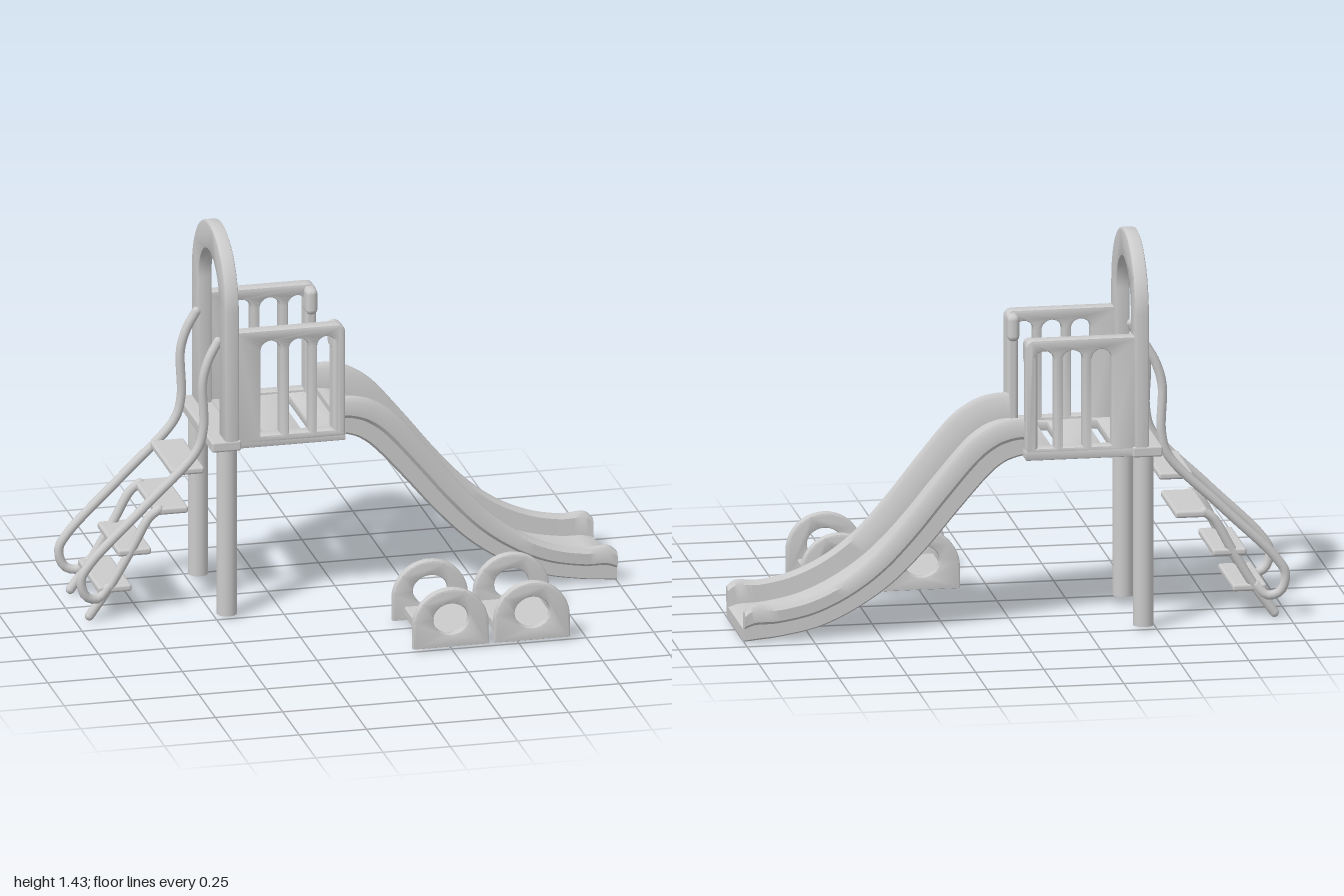
import * as THREE from 'three';
import { toCreasedNormals } from 'three/addons/utils/BufferGeometryUtils.js';
import { RoundedBoxGeometry } from 'three/addons/geometries/RoundedBoxGeometry.js';

const MID = -0.25; // centre plane of the tower in z
const grey = new THREE.MeshStandardMaterial({ color: 0xcccccc });

function add(parent, name, geometry, x = 0, y = 0, z = 0) {
  const mesh = new THREE.Mesh(geometry, grey);
  mesh.name = name;
  mesh.position.set(x, y, z);
  parent.add(mesh);
  return mesh;
}

// Bevelled plate, centred on its thickness
function plate(shape, depth, bevel = 0.008) {
  const g = new THREE.ExtrudeGeometry(shape, {
    depth: depth - 2 * bevel, bevelThickness: bevel, bevelSize: bevel,
    bevelOffset: -bevel, bevelSegments: 2, curveSegments: 20,
  });
  g.translate(0, 0, bevel - depth / 2);
  return toCreasedNormals(g, 0.6);
}

// Rod along a smooth path with rounded ends
function rod(parent, name, points, radius) {
  const group = new THREE.Group();
  group.name = name;
  const path = new THREE.CatmullRomCurve3(points.map(p => new THREE.Vector3(...p)), false, 'centripetal');
  add(group, name + 'Tube', new THREE.TubeGeometry(path, 64, radius, 12));
  for (const p of [points[0], points[points.length - 1]])
    add(group, name + 'End', new THREE.SphereGeometry(radius, 12, 8), ...p);
  parent.add(group);
}

// Upright slot with a round top
function slot(x0, x1, y0, y1) {
  const r = (x1 - x0) / 2, p = new THREE.Path();
  p.moveTo(x0, y0);
  p.lineTo(x1, y0);
  p.lineTo(x1, y1 - r);
  p.absarc(x0 + r, y1 - r, r, 0, Math.PI, false);
  p.lineTo(x0, y0);
  return p;
}

// Slide: a U-shaped section swept between a top and a bottom curve
function slideGeometry() {
  const top = [[-0.03, 0.79], [0.04, 0.785], [0.11, 0.76], [0.19, 0.7], [0.3, 0.57], [0.42, 0.42],
    [0.53, 0.3], [0.64, 0.215], [0.76, 0.158], [0.88, 0.132], [0.965, 0.135], [1, 0.112]];
  const bottom = [[-0.03, 0.65], [0, 0.645], [0.05, 0.625], [0.11, 0.575], [0.22, 0.45], [0.33, 0.32],
    [0.45, 0.2], [0.58, 0.11], [0.72, 0.045], [0.86, 0.015], [0.95, 0.005], [1, 0]];
  const half = [[0.18, 0], [0.192, 0.06], [0.192, 0.45], [0.205, 0.54], [0.207, 0.88],
    [0.196, 1], [0.174, 1], [0.162, 0.9], [0.158, 0.38]];
  const section = [...half, ...half.slice().reverse().map(([w, u]) => [-w, u])];
  const curves = [bottom, top].map(c => new THREE.SplineCurve(c.map(p => new THREE.Vector2(...p))));
  const n = section.length, steps = 66, pos = [], index = [];
  for (let i = 0; i <= steps; i++) {
    const b = curves[0].getPoint(i / steps), t = curves[1].getPoint(i / steps);
    for (const [w, u] of section) {
      const p = b.clone().lerp(t, u);
      pos.push(p.x, p.y, MID + w);
    }
  }
  for (let i = 0; i < steps; i++)
    for (let j = 0; j < n; j++) {
      const a = i * n + j, b = i * n + (j + 1) % n;
      index.push(a, a + n, b, b, a + n, b + n);
    }
  const cap = THREE.ShapeUtils.triangulateShape(section.map(p => new THREE.Vector2(...p)), []);
  for (const [a, b, c] of cap) index.push(a, b, c, steps * n + a, steps * n + c, steps * n + b);
  const g = new THREE.BufferGeometry();
  g.setAttribute('position', new THREE.Float32BufferAttribute(pos, 3));
  g.setIndex(index);
  return toCreasedNormals(g, 0.7);
}

function buildTower(root) {
  const tower = new THREE.Group();
  tower.name = 'tower';
  root.add(tower);

  // Deck with two drain slots, plus the wider sill under the arch
  const deck = new THREE.Shape([[-0.5, 0.005], [-0.02, 0.005], [-0.02, 0.5], [-0.5, 0.5]].map(p => new THREE.Vector2(...p)));
  for (const x of [-0.33, -0.148]) deck.holes.push(slot(x - 0.02, x + 0.02, 0.08, 0.43));
  add(tower, 'deck', plate(deck, 0.035, 0.005), 0, 0.663).rotation.x = -Math.PI / 2;
  add(tower, 'deckSill', new RoundedBoxGeometry(0.11, 0.04, 0.52, 2, 0.008), -0.465, 0.663, MID);

  // Entrance arch
  const arch = new THREE.Shape();
  arch.moveTo(-0.258, 0.66);
  arch.lineTo(-0.16, 0.66);
  arch.lineTo(-0.16, 1.165);
  arch.absarc(0, 1.165, 0.16, Math.PI, 0, true);
  arch.lineTo(0.16, 0.66);
  arch.lineTo(0.258, 0.66);
  arch.lineTo(0.258, 1.172);
  arch.absarc(0, 1.172, 0.258, 0, Math.PI, false);
  add(tower, 'arch', plate(arch, 0.052), -0.444, 0, MID).rotation.y = Math.PI / 2;

  // Side railing with four slots
  const rail = new THREE.Shape();
  rail.moveTo(-0.43, 0.665);
  rail.lineTo(-0.022, 0.665);
  rail.lineTo(-0.022, 1.06);
  rail.quadraticCurveTo(-0.022, 1.092, -0.055, 1.092);
  rail.lineTo(-0.43, 1.092);
  for (const [a, b] of [[-0.415, -0.365], [-0.335, -0.262], [-0.23, -0.155], [-0.125, -0.055]])
    rail.holes.push(slot(a, b, 0.69, 1.05));
  const railGeometry = plate(rail, 0.055);

  for (const s of [1, -1]) {
    add(tower, 'railing', railGeometry, 0, 0, MID + s * 0.222);
    add(tower, 'railingEndPost', new RoundedBoxGeometry(0.042, 0.42, 0.075, 3, 0.015), -0.045, 0.875, MID + s * 0.211);
    add(tower, 'railingKnob', new RoundedBoxGeometry(0.044, 0.1, 0.09, 3, 0.02), -0.046, 1.035, MID + s * 0.195);
    add(tower, 'post', new THREE.CylinderGeometry(0.037, 0.037, 0.645, 20), -0.455, 0.3325, MID + s * 0.218);
  }
}

function buildLadder(root) {
  const ladder = new THREE.Group();
  ladder.name = 'ladder';
  root.add(ladder);
  for (const s of [1, -1]) {
    const z = w => MID + s * w;
    // Handrail from the arch down to a loop that joins the stringer
    rod(ladder, 'handrail', [[-0.475, 1.035, z(0.165)], [-0.51, 0.97, z(0.168)], [-0.532, 0.89, z(0.17)],
      [-0.53, 0.71, z(0.17)], [-0.555, 0.625, z(0.17)], [-0.75, 0.425, z(0.17)], [-0.95, 0.225, z(0.17)],
      [-0.984, 0.165, z(0.17)], [-0.965, 0.1, z(0.168)], [-0.92, 0.085, z(0.16)], [-0.88, 0.12, z(0.148)]], 0.017);
    rod(ladder, 'stringer', [[-0.947, 0.016, z(0.145)], [-0.87, 0.125, z(0.145)],
      [-0.79, 0.26, z(0.145)], [-0.725, 0.375, z(0.145)], [-0.69, 0.402, z(0.145)]], 0.017);
  }
  for (const [x, y] of [[-0.855, 0.115], [-0.782, 0.25], [-0.645, 0.397], [-0.585, 0.543]])
    add(ladder, 'step', new RoundedBoxGeometry(0.125, 0.027, 0.32, 3, 0.01), x, y, MID);
}

// Low seat between two arched side panels
function buildSeat(root, x, seatShift) {
  const seat = new THREE.Group();
  seat.name = 'seat';
  seat.position.set(x, 0, 0.333);
  root.add(seat);
  const side = new THREE.Shape();
  side.moveTo(-0.14, 0.008);
  side.lineTo(0.14, 0.008);
  side.lineTo(0.14, 0.09);
  side.absarc(0, 0.09, 0.14, 0, Math.PI, false);
  const hole = new THREE.Path();
  hole.absellipse(0, 0.115, 0.065, 0.058, 0, Math.PI * 2, true);
  side.holes.push(hole);
  const g = plate(side, 0.036);
  for (const s of [1, -1]) add(seat, 'seatSide', g, 0, 0, s * 0.155);
  add(seat, 'seatBoard', new RoundedBoxGeometry(0.225, 0.038, 0.3, 2, 0.006), seatShift, 0.043, 0);
}

export function createModel() {
  const root = new THREE.Group();
  root.name = 'playground';
  buildTower(root);
  add(root, 'slide', slideGeometry());
  buildLadder(root);
  buildSeat(root, 0.247, 0.015);
  buildSeat(root, 0.549, -0.012);
  return root;
}
